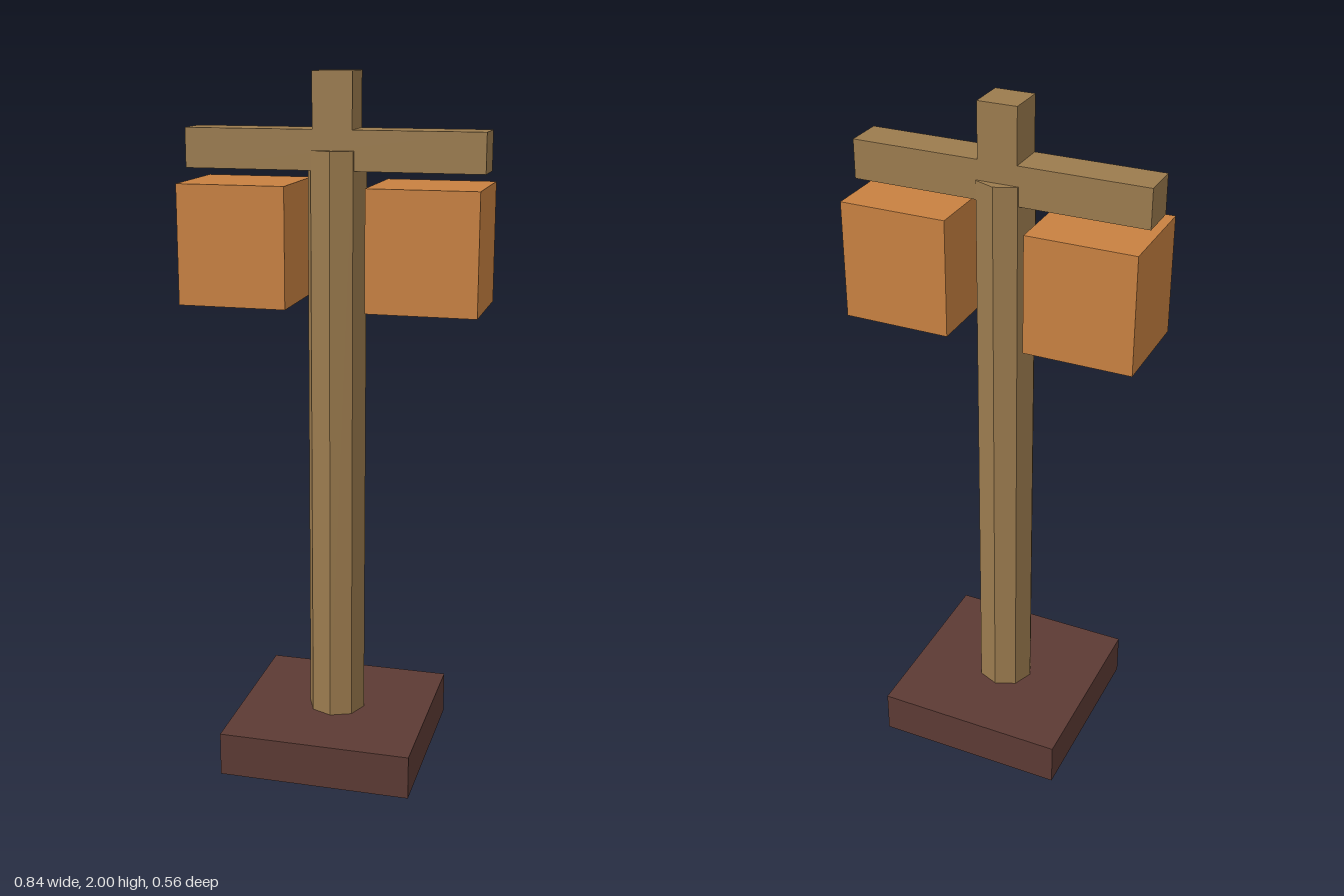
import * as THREE from 'three';

export function createModel() {
  const model = new THREE.Group();
  const material = (name, color) => {
    const m = new THREE.MeshStandardMaterial({ color });
    m.name = name;
    return m;
  };
  const wood = material('wood', 0x9b7b4e);
  const darkBase = material('dark base', 0x5c3a34);
  const orange = material('orange', 0xc88141);

  const add = (name, geometry, mat, x, y) => {
    const mesh = new THREE.Mesh(geometry, mat);
    mesh.name = name;
    mesh.position.set(x, y, 0);
    model.add(mesh);
  };
  // Box centred on z = 0, given its centre x, bottom and top
  const box = (name, mat, x, bottom, top, width, depth) =>
    add(name, new THREE.BoxGeometry(width, top - bottom, depth), mat, x, (bottom + top) / 2);

  // Square foot
  box('base', darkBase, 0, 0, 0.128, 0.56, 0.56);

  // Eight-sided post with flat facets, a corner facing forward
  const post = new THREE.CylinderGeometry(0.084, 0.084, 1.662, 8).toNonIndexed();
  post.computeVertexNormals();
  add('post', post, wood, 0, 0.128 + 0.831);

  // Crossbeam and the short finial above it
  box('crossbeam', wood, 0, 1.736, 1.846, 0.84, 0.112);
  box('finial', wood, 0, 1.846, 2, 0.112, 0.112);

  // Lantern blocks under each arm
  for (const [name, side] of [['leftLantern', 1], ['rightLantern', -1]])
    box(name, orange, side * 0.266, 1.364, 1.7, 0.308, 0.28);

  return model;
}
